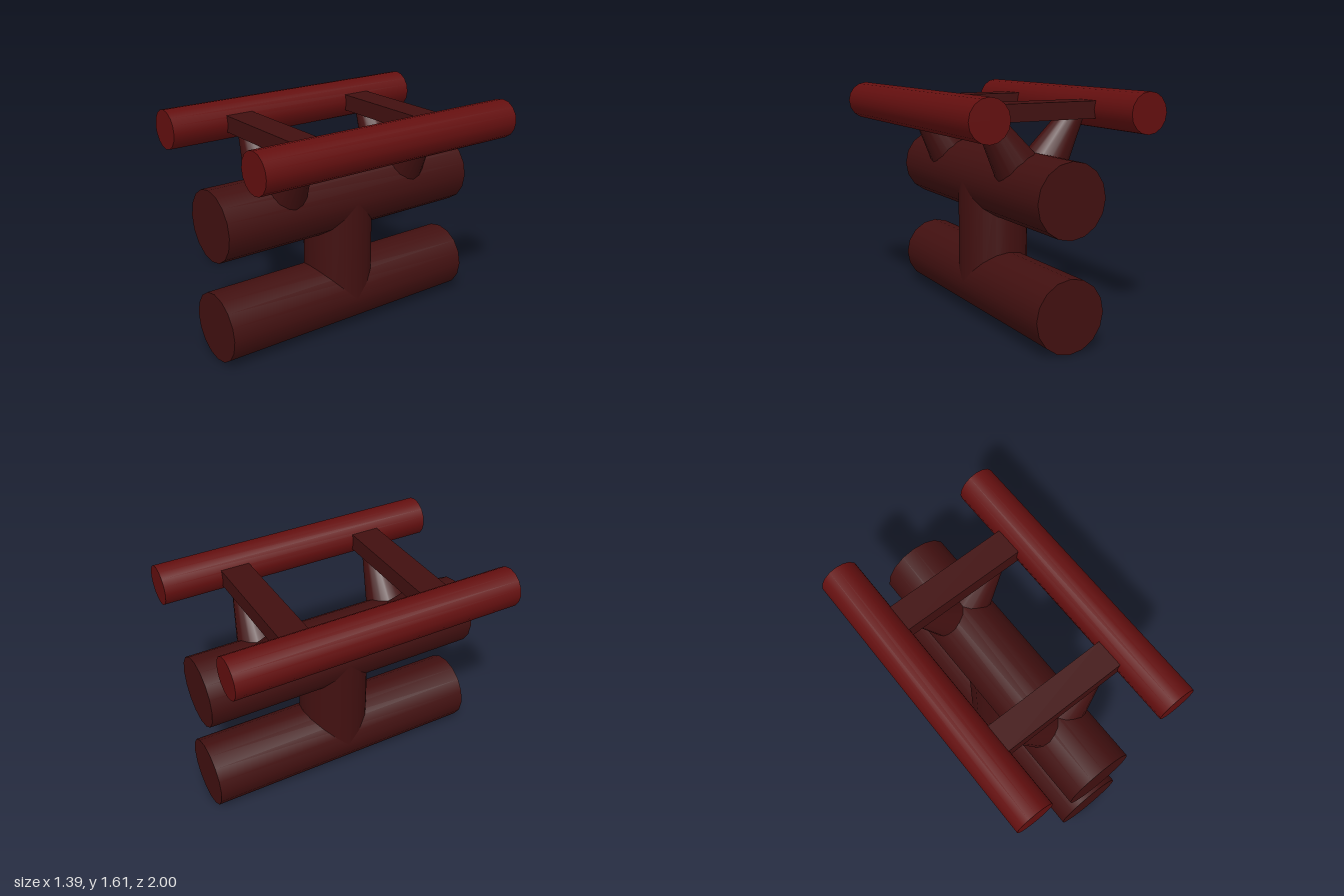
import * as THREE from 'three';

const dark = new THREE.MeshStandardMaterial({ color: 0x421010 });
const red = new THREE.MeshStandardMaterial({ color: 0x640f0f });

const SIDES = 16;
const TUBE_R = 0.243;   // main tubes and post
const LOW_Y = 0.244;    // lower tube axis
const HIGH_Y = 0.968;   // upper tube axis
const BAR_Y = 1.473;    // crossbars and rails

export function createModel() {
  const group = new THREE.Group();

  const add = (name, geometry, material, x = 0, y = 0, z = 0) => {
    const mesh = new THREE.Mesh(geometry, material);
    mesh.name = name;
    mesh.position.set(x, y, z);
    group.add(mesh);
    return mesh;
  };

  // Full-length cylinder lying along z
  const lengthwise = (radius) =>
    new THREE.CylinderGeometry(radius, radius, 2, SIDES).rotateX(Math.PI / 2);

  // Two stacked main tubes joined by an upright post
  add('lowerTube', lengthwise(TUBE_R), dark, 0, LOW_Y);
  add('upperTube', lengthwise(TUBE_R), dark, 0, HIGH_Y);
  add('centrePost', new THREE.CylinderGeometry(TUBE_R, TUBE_R, HIGH_Y - LOW_Y, SIDES),
    dark, 0, (LOW_Y + HIGH_Y) / 2);

  // Pair of side rails
  for (const side of [1, -1]) {
    add(side > 0 ? 'leftRail' : 'rightRail', lengthwise(0.135), red, side * 0.56, BAR_Y);
  }

  // Crossbars, each carried by a V of tapered struts
  for (const z of [0.5, -0.5]) {
    const end = z > 0 ? 'front' : 'back';
    add(end + 'Crossbar', new THREE.BoxGeometry(0.9, 0.115, 0.2), dark, 0, BAR_Y, z);

    for (const side of [1, -1]) {
      const foot = new THREE.Vector3(0, HIGH_Y, z);
      const top = new THREE.Vector3(side * 0.342, BAR_Y, z);
      const axis = top.clone().sub(foot);
      const strut = add(end + (side > 0 ? 'Left' : 'Right') + 'Strut',
        new THREE.CylinderGeometry(0.071, 0.188, axis.length(), SIDES), dark);
      strut.position.copy(foot).add(top).multiplyScalar(0.5);
      strut.quaternion.setFromUnitVectors(new THREE.Vector3(0, 1, 0), axis.normalize());
    }
  }

  return group;
}
